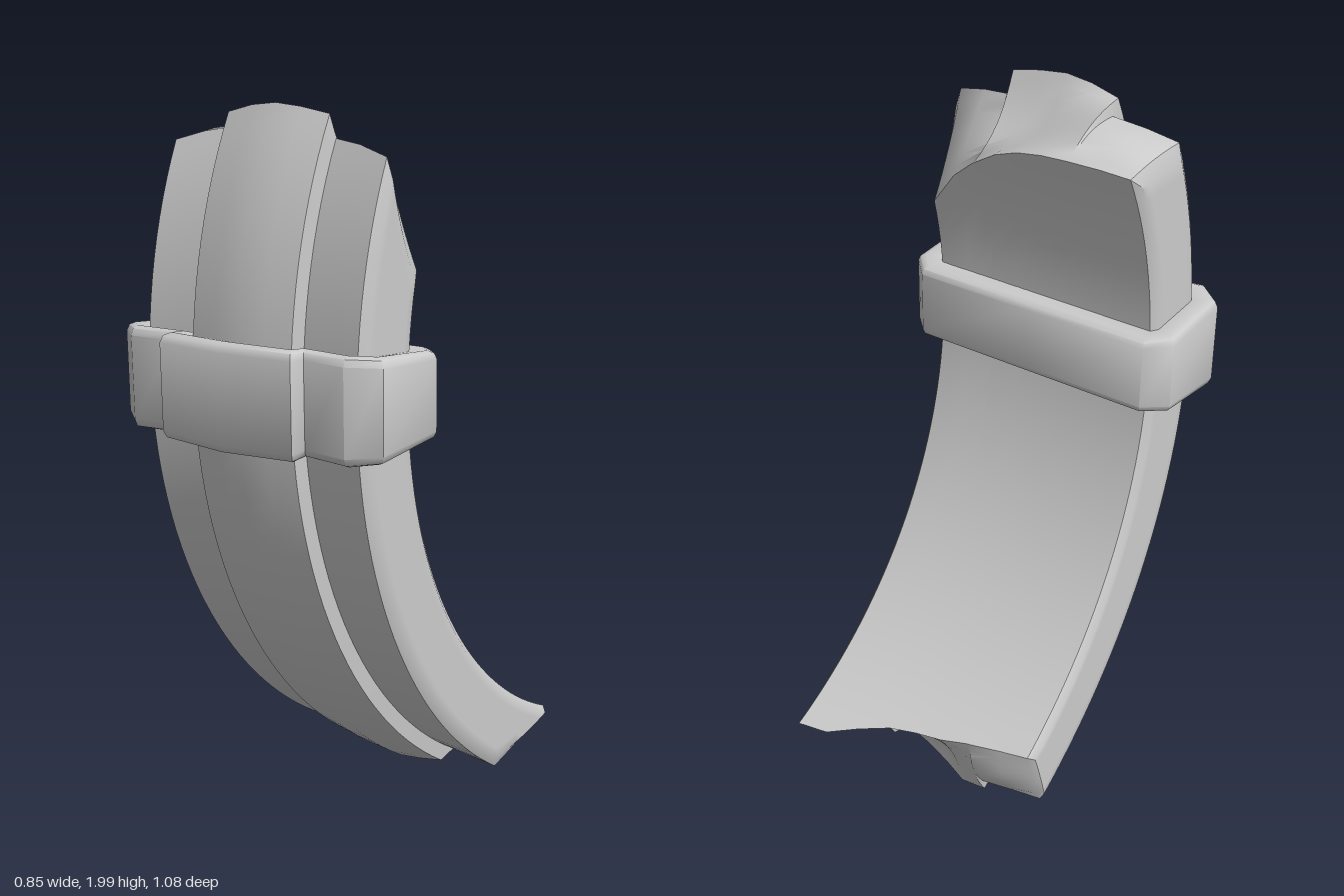
import * as THREE from 'three';
import { mergeGeometries, mergeVertices, toCreasedNormals } from 'three/addons/utils/BufferGeometryUtils.js';

// Everything bends around one x-parallel axis; points are [x, radius, angle in degrees].
const AXIS_Y = 1.31, AXIS_Z = -1.03;
const lerp = THREE.MathUtils.lerp;

function place([x, r, deg]) {
  const a = THREE.MathUtils.degToRad(deg);
  return [x, AXIS_Y + r * Math.sin(a), AXIS_Z + r * Math.cos(a)];
}

// Skin a list of equal-length rows of points.
function skin(rows, closed) {
  const n = rows[0].length, index = [];
  for (let v = 0; v < rows.length - 1; v++) {
    for (let u = 0; u < (closed ? n : n - 1); u++) {
      const a = v * n + u, b = v * n + (u + 1) % n;
      index.push(a, b, b + n, a, b + n, a + n);
    }
  }
  const geo = new THREE.BufferGeometry();
  geo.setAttribute('position', new THREE.Float32BufferAttribute(rows.flat().flatMap(place), 3));
  geo.setIndex(index);
  return geo;
}

function makeMesh(name, geo, crease) {
  const material = new THREE.MeshStandardMaterial({ color: 0xcccccc, side: THREE.DoubleSide });
  const mesh = new THREE.Mesh(toCreasedNormals(geo, crease), material);
  mesh.name = name;
  return mesh;
}

// Columns across the width: x, inner radius, outer radius,
// then the break angles: top inner, top outer, bottom inner, bottom outer.
const COLUMNS = [
  [-0.36, 1.25, 1.42, 25.5, 22.3, -56.2, -58.4],
  [-0.345, 1.23, 1.445, 27.6, 24, -56.6, -59],
  [-0.26, 1.23, 1.437, 27.8, 25.2, -57.4, -59.6],
  [-0.167, 1.23, 1.43, 27.7, 26, -58.4, -60.3],
  [-0.163, 1.23, 1.475, 27.7, 26.8, -58.4, -60.7],
  [-0.08, 1.23, 1.488, 27.4, 27.4, -59.6, -60.9],
  [0, 1.23, 1.495, 26.6, 27.6, -60.3, -59.8],
  [0.08, 1.23, 1.488, 25, 27.4, -61.3, -58.9],
  [0.163, 1.23, 1.475, 22.4, 27, -63.3, -58.3],
  [0.167, 1.23, 1.43, 22.3, 25.2, -63.4, -60],
  [0.25, 1.23, 1.437, 19, 24.6, -65.8, -59.3],
  [0.345, 1.23, 1.445, 13.5, 23.4, -66.5, -58],
  [0.36, 1.25, 1.42, 12, 21.5, -66.3, -56.9],
];
const DEPTH = 8;

// Point in column i, at depth t (0 inner, 1 outer) and length s (0 bottom, 1 top).
function bodyPoint(i, t, s) {
  const [x, rIn, rOut, topIn, topOut, botIn, botOut] = COLUMNS[i];
  const dent = 2.2 * Math.sin(Math.PI * t) * Math.sin(9 * x + 1) * (1 - (x / 0.36) ** 2);
  const top = lerp(topIn, topOut, t) - dent;
  const bottom = lerp(botIn, botOut, t) + dent;
  return [x, lerp(rIn, rOut, t), lerp(bottom, top, s)];
}

function buildBody() {
  const last = COLUMNS.length - 1;
  // Perimeter: outer face, right side, inner face, left side
  const loop = [];
  for (let i = 0; i < last; i++) loop.push([i, 1]);
  for (let k = DEPTH; k > 0; k--) loop.push([last, k / DEPTH]);
  for (let i = last; i > 0; i--) loop.push([i, 0]);
  for (let k = 0; k < DEPTH; k++) loop.push([0, k / DEPTH]);

  const rows = [];
  for (let j = 0; j <= 40; j++) rows.push(loop.map(([i, t]) => bodyPoint(i, t, j / 40)));

  // Broken ends
  const topRows = [], bottomRows = [];
  for (let k = 0; k <= DEPTH; k++) {
    topRows.push(COLUMNS.map((_, i) => bodyPoint(i, 1 - k / DEPTH, 1)));
    bottomRows.push(COLUMNS.map((_, i) => bodyPoint(i, k / DEPTH, 0)));
  }
  const parts = [skin(rows, true), skin(topRows, false), skin(bottomRows, false)];
  return makeMesh('curvedBody', mergeVertices(mergeGeometries(parts), 1e-5), 0.7);
}

// Band outline halves as [x, radius], from front centre to back centre
const BAND_OUTER = [[0, 1.57], [0.215, 1.545], [0.217, 1.495], [0.35, 1.51],
  [0.425, 1.45], [0.425, 1.22], [0.365, 1.16], [0, 1.16]];
const BAND_INNER = [[0, 1.49], [0.165, 1.475], [0.167, 1.43], [0.345, 1.445],
  [0.36, 1.42], [0.36, 1.25], [0.345, 1.23], [0, 1.23]];

function buildBand() {
  const lo = -6.3, hi = 4.4, bevel = 1;
  // Each ring: how far it is drawn in toward the body, and its angle
  const rings = [[1.1, lo + 0.4], [0.35, lo], [0.1, lo + 0.3], [0, lo + bevel],
    [0, hi - bevel], [0.1, hi - 0.3], [0.35, hi], [1.1, hi - 0.4]];
  const rows = rings.map(([f, deg]) => {
    const half = BAND_OUTER.map(([x, r], i) =>
      [lerp(x, BAND_INNER[i][0], f), lerp(r, BAND_INNER[i][1], f), deg]);
    const mirrored = half.slice(1, -1).reverse().map(([x, r, d]) => [-x, r, d]);
    return [...half, ...mirrored];
  });
  return makeMesh('clampBand', skin(rows, true), 0.85);
}

export function createModel() {
  const group = new THREE.Group();
  group.name = 'brokenCurvedSegment';
  group.add(buildBody(), buildBand());
  return group;
}
